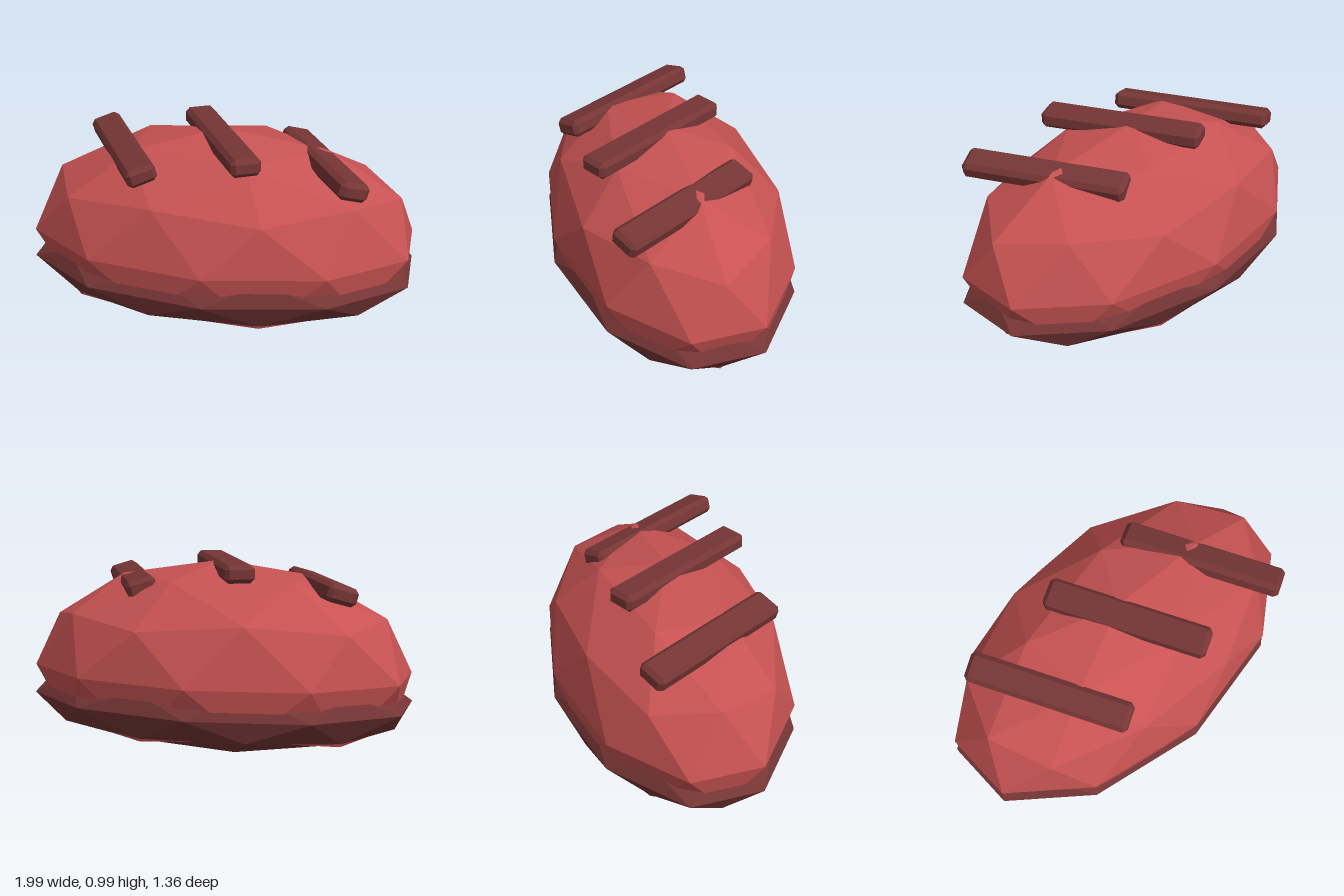
import * as THREE from 'three';
import { ConvexGeometry } from 'three/addons/geometries/ConvexGeometry.js';

const TURN = THREE.MathUtils.degToRad(20.25);

// Faceted ball with a vertex at each pole, squashed to an oval and turned about y
function ovalBall(rx, ry, rz, floor = -1) {
  const g = new THREE.IcosahedronGeometry(1, 1);
  g.rotateX(-Math.atan((1 + Math.sqrt(5)) / 2));
  g.rotateY(Math.PI / 2);
  const p = g.attributes.position;
  for (let i = 0; i < p.count; i++) p.setY(i, Math.max(p.getY(i), floor));
  g.scale(rx, ry, rz);
  g.rotateY(TURN);
  g.computeVertexNormals();
  return g;
}

// Box with every edge chamfered by c
function chamferBox(w, h, d, c) {
  const pts = [];
  for (const x of [-1, 1]) for (const y of [-1, 1]) for (const z of [-1, 1])
    for (let full = 0; full < 3; full++) {
      const inset = [0, 1, 2].map(a => (a === full ? 0 : c));
      pts.push(new THREE.Vector3(
        x * (w / 2 - inset[0]), y * (h / 2 - inset[1]), z * (d / 2 - inset[2])));
    }
  return new ConvexGeometry(pts);
}

export function createModel() {
  const group = new THREE.Group();
  const red = new THREE.MeshStandardMaterial({ color: 0xc75252, flatShading: true });
  red.name = 'warm red';
  const dark = new THREE.MeshStandardMaterial({ color: 0x763535, flatShading: true });
  dark.name = 'dark red brown';

  const add = (name, geometry, material, x, y, z) => {
    const mesh = new THREE.Mesh(geometry, material);
    mesh.name = name;
    mesh.position.set(x, y, z);
    group.add(mesh);
    return mesh;
  };

  // Domed body with a flattened underside
  add('body', ovalBall(1.035, 0.575, 0.609, -0.526), red, 0, 0.41, 0);
  // Shallow dark base that the body sits in
  add('base', ovalBall(1.042, 0.255, 0.615), dark, 0, 0.257, 0);

  // Three slanted bars across the top, the outer two rolled outward
  const bar = chamferBox(0.845, 0.092, 0.155, 0.022);
  const bars = [
    ['rightBar', -0.465, 0.86, 0.243, 0.28],
    ['middleBar', 0.025, 0.945, 0.065, 0],
    ['leftBar', 0.515, 0.86, -0.115, -0.28],
  ];
  for (const [name, x, y, z, roll] of bars) {
    add(name, bar, dark, x, y, z)
      .rotation.set(roll, THREE.MathUtils.degToRad(-41.7), 0, 'YXZ');
  }
  return group;
}
